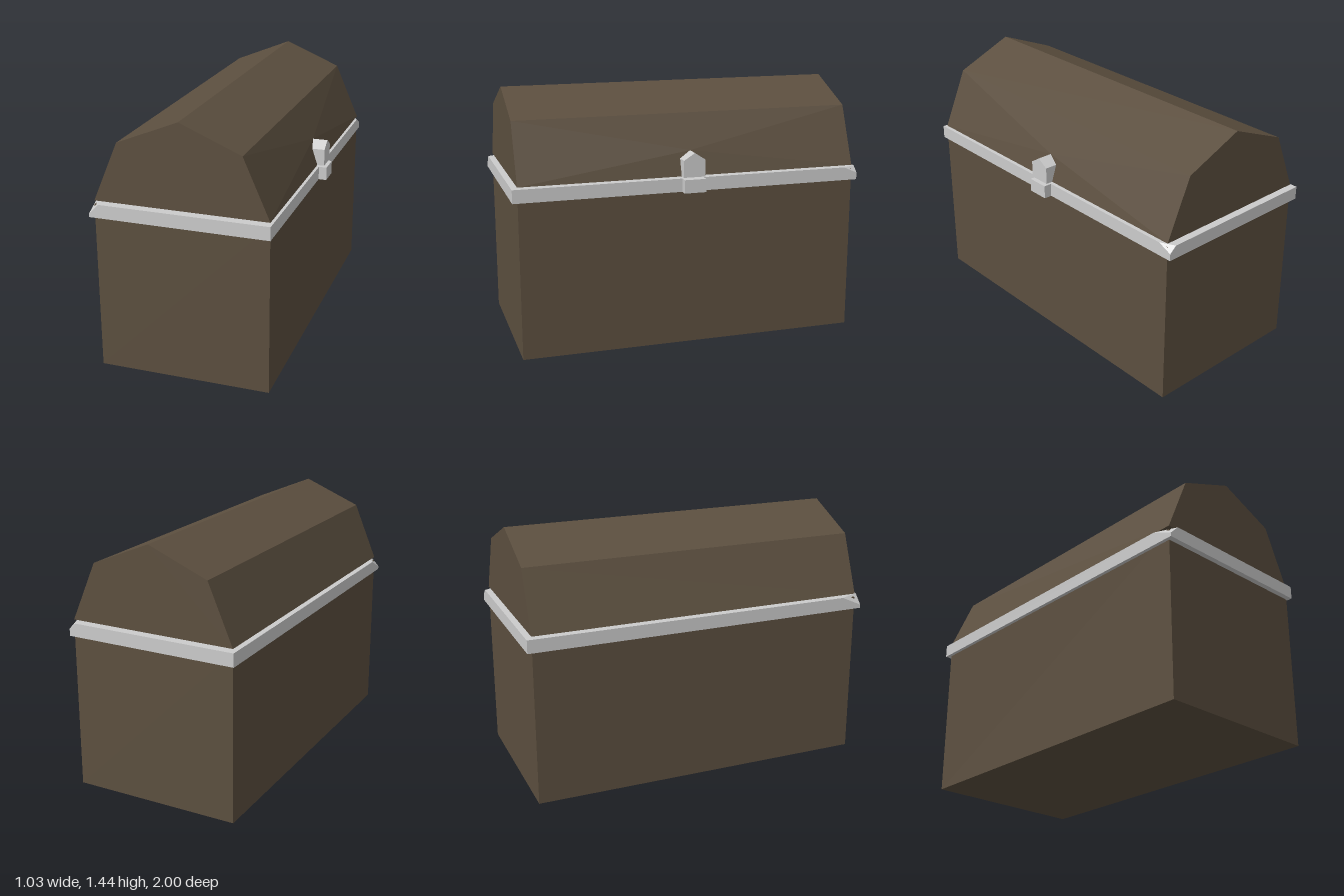
import * as THREE from 'three';
import { ConvexGeometry } from 'three/addons/geometries/ConvexGeometry.js';

const wood = new THREE.MeshStandardMaterial({ color: 0x5c4f3f, flatShading: true });
const metal = new THREE.MeshStandardMaterial({ color: 0xcccccc, flatShading: true });

// Box given by its lower and upper corners
function box(x0, y0, z0, x1, y1, z1) {
  return new THREE.BoxGeometry(x1 - x0, y1 - y0, z1 - z0)
    .translate((x0 + x1) / 2, (y0 + y1) / 2, (z0 + z1) / 2);
}

function hull(points) {
  return new ConvexGeometry(points.map((p) => new THREE.Vector3(...p)));
}

export function createModel() {
  const chest = new THREE.Group();
  chest.name = 'chest';
  const add = (name, geometry, material) => {
    const mesh = new THREE.Mesh(geometry, material);
    mesh.name = name;
    chest.add(mesh);
  };

  add('body', box(-0.5, 0, -0.97, 0.46, 0.95, 0.97), wood);

  // Faceted lid, drawn out slightly where the latch is fixed
  const profile = [[-0.5, 0.97], [-0.36, 1.3], [-0.02, 1.44], [0.315, 1.3], [0.46, 0.97]];
  const lidPoints = profile.flatMap(([x, y]) => [[x, y, -0.97], [x, y, 0.97]]);
  lidPoints.push([0.415, 1.105, 0]);
  add('lid', hull(lidPoints), wood);

  // Metal rim with two opposite upper corners cut off
  const x0 = -0.52, x1 = 0.47, y0 = 0.885, y1 = 0.96;
  add('rim', hull([
    [x0, y0, -1], [x1, y0, -1], [x0, y0, 1], [x1, y0, 1],
    [x0, y1, -1], [x1, y1, 1],
    [-0.465, y1, 1], [x0, 0.905, 1], [x0, y1, 0.88],
    [0.43, y1, -1], [x1, 0.925, -1], [x1, y1, -0.92],
  ]), metal);

  // Latch: pointed plate on the lid and catch on the rim
  const plate = new THREE.Shape([
    [-0.062, 0.97], [0.062, 0.97], [0.062, 1.065], [0, 1.105], [-0.062, 1.065],
  ].map(([z, y]) => new THREE.Vector2(z, y)));
  const plateGeometry = new THREE.ExtrudeGeometry(plate, { depth: 0.085, bevelEnabled: false });
  add('latchPlate', plateGeometry.rotateY(Math.PI / 2).translate(0.415, 0, 0), metal);
  add('latchCatch', box(0.46, 0.885, -0.062, 0.515, 0.96, 0.062), metal);

  return chest;
}
